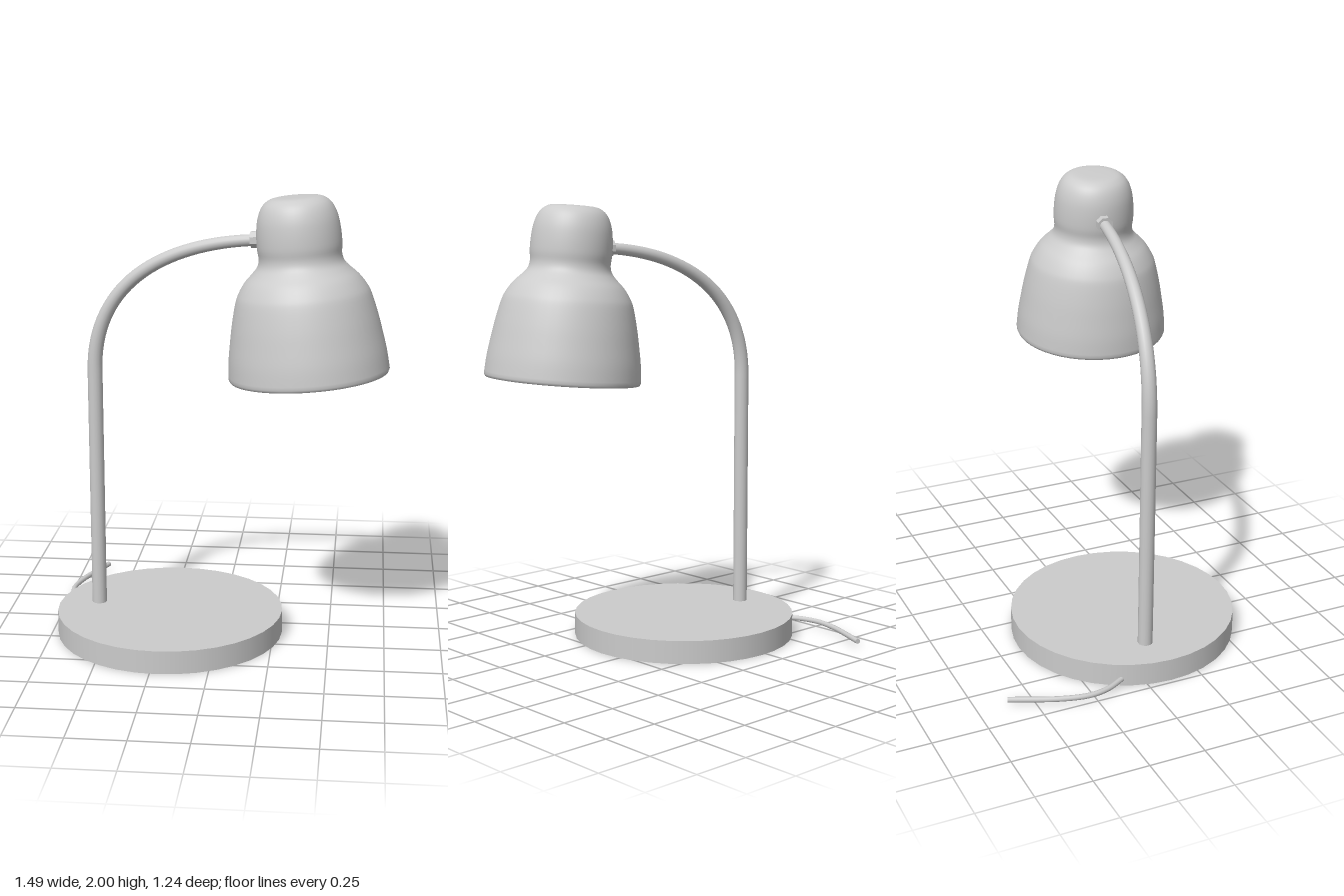
import * as THREE from 'three';

const grey = new THREE.MeshStandardMaterial({ color: 0xcccccc });
const thin = new THREE.MeshStandardMaterial({ color: 0xcccccc, side: THREE.DoubleSide });

function part(name, geometry, parent, material = grey) {
  const mesh = new THREE.Mesh(geometry, material);
  mesh.name = name;
  parent.add(mesh);
  return mesh;
}

// Smooth curve through [radius, height] pairs
const smooth = (pairs, n) =>
  new THREE.SplineCurve(pairs.map(([r, y]) => new THREE.Vector2(r, y))).getPoints(n);

// Tube whose radius runs from r0 to r1, with closed ends
function taperedTube(path, n, sides, r0, r1) {
  const geo = new THREE.TubeGeometry(path, n, 1, sides);
  const pos = geo.attributes.position;
  const p = new THREE.Vector3();
  for (let i = 0; i <= n; i++) {
    const centre = path.getPointAt(i / n);
    const r = r0 + (r1 - r0) * i / n;
    for (let j = 0; j <= sides; j++) {
      const k = i * (sides + 1) + j;
      p.fromBufferAttribute(pos, k).sub(centre).multiplyScalar(r).add(centre);
      pos.setXYZ(k, p.x, p.y, p.z);
    }
  }
  return geo;
}

export function createModel() {
  const model = new THREE.Group();
  model.name = 'deskLamp';

  // Round foot
  part('base', new THREE.CylinderGeometry(0.51, 0.51, 0.104, 36), model)
    .position.set(-0.222, 0.052, 0.11);

  // Power cord lying behind the foot
  const cordPoints = [[-0.62, 0], [-0.675, -0.1], [-0.722, -0.19], [-0.737, -0.28],
    [-0.713, -0.4], [-0.625, -0.617]].map(([x, z]) => new THREE.Vector3(x, 0.03, z));
  const cordPath = new THREE.CatmullRomCurve3(cordPoints);
  part('cord', new THREE.TubeGeometry(cordPath, 30, 0.012, 10), model);
  const cordEnd = part('cordEnd', new THREE.CircleGeometry(0.012, 10), model, thin);
  cordEnd.position.copy(cordPoints[5]);
  cordEnd.lookAt(cordPoints[5].clone().add(cordPath.getTangent(1)));

  // Pole, arm and shade share one upright plane, turned a little to the front
  const upper = new THREE.Group();
  upper.name = 'upperLamp';
  upper.position.set(-0.555, 0, 0.067);
  upper.rotation.y = -0.168;
  model.add(upper);

  part('pole', new THREE.CylinderGeometry(0.033, 0.033, 1.12, 16, 1, true), upper)
    .position.y = 0.64;
  const armPath = new THREE.CubicBezierCurve3(
    new THREE.Vector3(0, 1.2, 0), new THREE.Vector3(0, 1.6, 0),
    new THREE.Vector3(0.34, 1.78, 0), new THREE.Vector3(0.73, 1.806, 0));
  part('arm', taperedTube(armPath, 32, 16, 0.033, 0.025), upper);

  // Tilted lamp head, with its origin at the centre of the rim
  const head = new THREE.Group();
  head.name = 'head';
  head.position.set(0.968, 1.235, 0);
  head.rotation.z = 0.087;
  upper.add(head);

  const outer = smooth([[0.345, 0.012], [0.338, 0.09], [0.325, 0.17], [0.31, 0.25], [0.289, 0.335],
    [0.272, 0.375], [0.243, 0.418], [0.208, 0.453], [0.184, 0.482], [0.176, 0.515], [0.18, 0.56],
    [0.178, 0.62], [0.17, 0.675], [0.153, 0.72], [0.128, 0.748], [0.09, 0.762], [0, 0.764]], 64);
  part('shade', new THREE.LatheGeometry(
    [new THREE.Vector2(0.331, 0), new THREE.Vector2(0.34, 0.001), ...outer], 48), head);

  // Inside of the shade, listed from the top down so it faces inwards
  const lining = smooth([[0, 0.75], [0.085, 0.748], [0.12, 0.736], [0.142, 0.71], [0.159, 0.665],
    [0.166, 0.6], [0.165, 0.52], [0.175, 0.475], [0.2, 0.442], [0.236, 0.406], [0.262, 0.367],
    [0.28, 0.325], [0.3, 0.25], [0.315, 0.17], [0.327, 0.09], [0.331, 0]], 60);
  part('shadeLining', new THREE.LatheGeometry(lining, 48), head);

  // Collar joining the arm to the head
  const collar = part('collar', new THREE.CylinderGeometry(0.037, 0.037, 0.04, 8).toNonIndexed(), head);
  collar.geometry.computeVertexNormals();
  collar.position.set(-0.186, 0.592, 0);
  collar.rotation.set(Math.PI / 8, 0, Math.PI / 2);

  return model;
}
